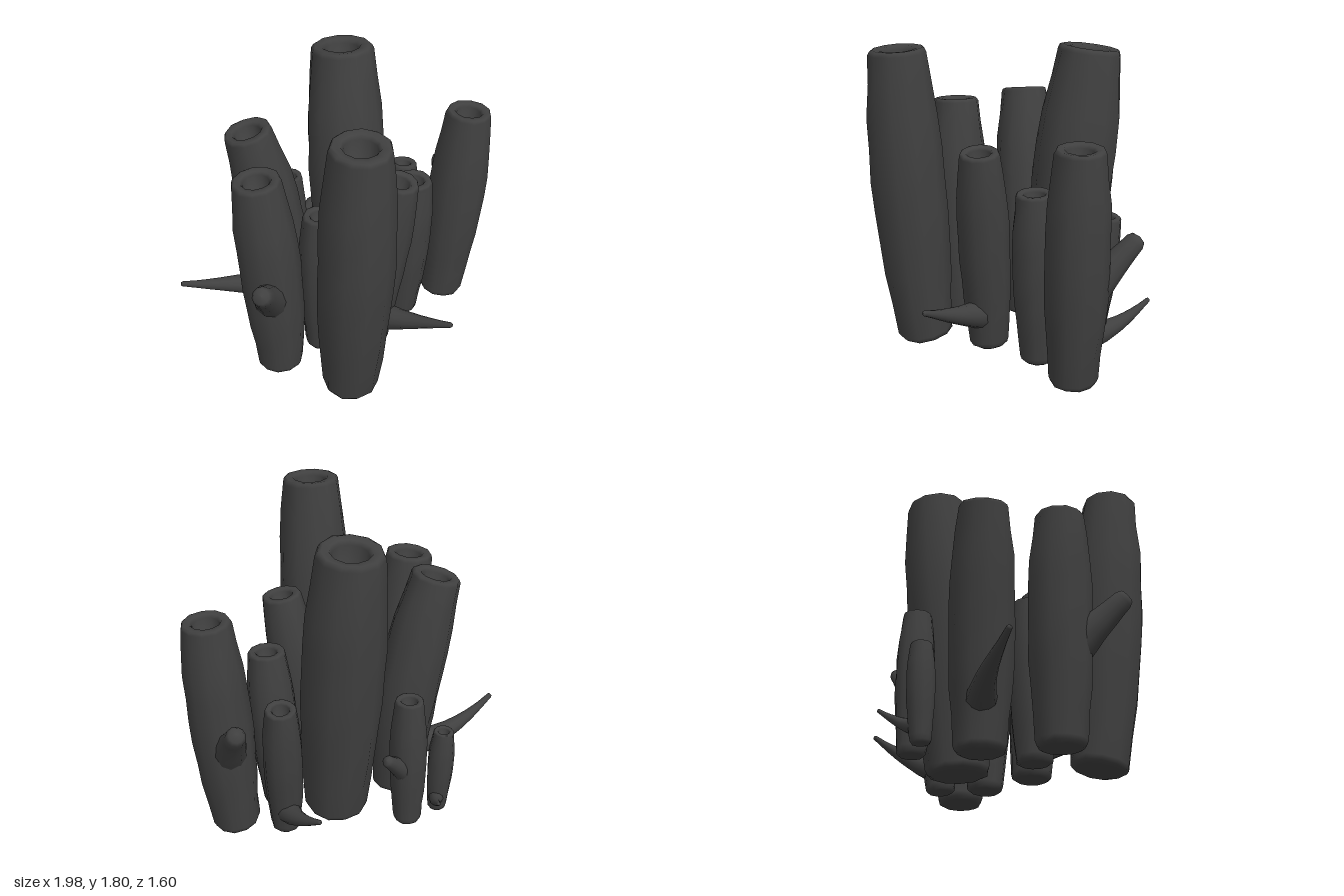
import * as THREE from 'three';

const SIDES = 11;
const { lerp } = THREE.MathUtils;
const material = new THREE.MeshStandardMaterial({ color: 0x404040 });

// Small seeded generator for the lumpy surface
function seeded(seed) {
  let s = seed * 7919 + 17;
  return () => {
    s = (s * 16807) % 2147483647;
    return s / 2147483647;
  };
}

// Closed skin over rings; each ring is { c: centre, dir: axis, r: radius }
function skin(rings, seed, lump) {
  const rnd = seeded(seed);
  const up = new THREE.Vector3(0, 1, 0);
  const q = new THREE.Quaternion();
  const v = new THREE.Vector3();
  const pos = [], index = [];
  const phase = rnd() * 6;
  rings.forEach(({ c, dir, r }, i) => {
    q.setFromUnitVectors(up, dir);
    for (let j = 0; j < SIDES; j++) {
      const a = (j / SIDES) * Math.PI * 2 + phase;
      const k = r * (1 + (rnd() - 0.5) * lump);
      v.set(Math.cos(a) * k, 0, Math.sin(a) * k).applyQuaternion(q).add(c);
      pos.push(v.x, Math.max(v.y, 0), v.z);
      if (i === rings.length - 1) continue;
      const n = (j + 1) % SIDES, b = i * SIDES, t = b + SIDES;
      index.push(b + j, t + j, b + n, b + n, t + j, t + n);
    }
  });
  const g = new THREE.BufferGeometry();
  g.setAttribute('position', new THREE.Float32BufferAttribute(pos, 3));
  g.setIndex(index);
  g.computeVertexNormals();
  return g;
}

// Rings along an axis, both axis and radius given as functions of t = 0..1
function ringsAlong(axis, radius, count) {
  return Array.from({ length: count + 1 }, (_, i) => {
    const t = i / count;
    const dir = axis(Math.min(t + 0.02, 1)).sub(axis(Math.max(t - 0.02, 0))).normalize();
    return { c: axis(t), dir, r: radius(t) };
  });
}

// Ring offset along the axis of another ring
const shifted = (ring, d, r) => ({ c: ring.c.clone().addScaledVector(ring.dir, d), dir: ring.dir, r });

// Swelling shared by all stalks: narrow foot, full middle, drawn-in rim
const swelling = new THREE.SplineCurve(
  [0.78, 0.93, 1, 0.96, 0.77].map((r, i) => new THREE.Vector2(i / 4, r)));

// Hollow-topped stalk: rounded foot, lumpy body, thick rim and a pit
function stalkGeometry(axis, girth, seed) {
  const body = ringsAlong(axis, t => girth * swelling.getPoint(t).y, 9);
  const foot = body[0], top = body.pop();
  const bevel = top.r * 0.16, hole = top.r * 0.55;
  return skin([
    shifted(foot, -0.045, 0.0005),
    shifted(foot, -0.042, foot.r * 0.78),
    shifted(foot, -0.028, foot.r * 0.94),
    ...body,
    shifted(top, -bevel, top.r),
    shifted(top, -bevel * 0.25, top.r * 0.95),
    shifted(top, 0, top.r * 0.87),
    shifted(top, -bevel * 0.2, hole * 1.15),
    shifted(top, -bevel, hole),
    shifted(top, -hole * 1.6, hole * 0.85),
    shifted(top, -hole * 1.7, 0.0005),
  ], seed, 0.055);
}

// Side shoot from a stalk's axis to its tip, curling upward and sideways
function shootGeometry(start, { tip, thick, thin, curl = 1, bend = 0 }, seed) {
  const end = new THREE.Vector3(...tip);
  const side = new THREE.Vector3(end.z - start.z, 0, start.x - end.x).normalize();
  const axis = t => {
    const p = start.clone().lerp(end, t).addScaledVector(side, Math.sin(t * Math.PI) * bend);
    p.y = lerp(start.y, end.y, t ** curl);
    return p;
  };
  const body = ringsAlong(axis, t => lerp(thin, thick, (1 - t) ** 1.2), 8);
  const last = body[body.length - 1];
  return skin([
    shifted(body[0], -0.01, 0.0005),
    ...body,
    shifted(last, last.r * 0.5, last.r * 0.75),
    shifted(last, last.r * 0.7, 0.0005),
  ], seed, 0.04);
}

// One stalk: foot and rim are [x, z]; ease shapes the lean between them
function makeStalk({ name, foot, rim, height, girth, ease = 1, shoot }, i) {
  const axis = t => new THREE.Vector3(
    lerp(foot[0], rim[0], t ** ease), lerp(0.05, height, t), lerp(foot[1], rim[1], t ** ease));
  const group = new THREE.Group();
  group.name = name;
  const body = new THREE.Mesh(stalkGeometry(axis, girth, i + 1), material);
  body.name = 'stalk';
  group.add(body);
  if (shoot) {
    const start = axis((shoot.from - 0.05) / (height - 0.05));
    const branch = new THREE.Mesh(shootGeometry(start, shoot, i + 31), material);
    branch.name = 'sideShoot';
    group.add(branch);
  }
  return group;
}

export function createModel() {
  const model = new THREE.Group();
  model.name = 'stalkCluster';

  // Tall and inner stalks without shoots
  const plain = [
    { name: 'frontTallStalk', foot: [-0.055, 0.49], rim: [-0.035, 0.615], height: 1.78, girth: 0.218, ease: 0.75 },
    { name: 'backTallStalk', foot: [0.12, -0.3], rim: [0.1, -0.475], height: 1.78, girth: 0.24, ease: 1.25 },
    { name: 'innerStalk', foot: [-0.15, 0.11], rim: [-0.15, 0.09], height: 0.99, girth: 0.137 },
    { name: 'innerRightStalk', foot: [0.42, -0.12], rim: [0.465, -0.08], height: 1.04, girth: 0.14 },
  ];

  // Stalks with a short blunt knob
  const knobbed = [
    { name: 'leftOuterStalk', foot: [-0.44, 0.22], rim: [-0.53, 0.22], height: 1.38, girth: 0.182, ease: 1.4,
      shoot: { from: 0.5, tip: [-0.57, 0.83, 0.555], thick: 0.13, thin: 0.058 } },
    { name: 'rightOuterStalk', foot: [0.735, -0.25], rim: [0.835, -0.24], height: 1.38, girth: 0.178, ease: 0.9,
      shoot: { from: 0.48, tip: [0.78, 0.835, -0.565], thick: 0.13, thin: 0.056 } },
    { name: 'backStalk', foot: [-0.235, -0.565], rim: [-0.225, -0.56], height: 0.85, girth: 0.108,
      shoot: { from: 0.35, tip: [-0.06, 0.54, -0.67], thick: 0.08, thin: 0.035 } },
  ];

  // Stalks with a long pointed horn
  const horned = [
    { name: 'leaningStalk', foot: [-0.31, -0.2], rim: [-0.515, -0.215], height: 1.43, girth: 0.188, ease: 1.6,
      shoot: { from: 0.27, tip: [-0.98, 0.445, -0.11], thick: 0.105, thin: 0.016, curl: 1.9, bend: -0.04 } },
    { name: 'frontRightStalk', foot: [0.15, 0.13], rim: [0.29, 0.2], height: 1.24, girth: 0.152, ease: 1.3,
      shoot: { from: 0.21, tip: [0.54, 0.4, 0.55], thick: 0.1, thin: 0.016, curl: 1.3 } },
    { name: 'backRightStalk', foot: [0.465, -0.385], rim: [0.505, -0.48], height: 0.9, girth: 0.115, ease: 1.2,
      shoot: { from: 0.15, tip: [0.387, 0.315, -0.785], thick: 0.085, thin: 0.014, curl: 1.4, bend: -0.025 } },
    { name: 'smallBackStalk', foot: [-0.45, -0.52], rim: [-0.462, -0.535], height: 0.57, girth: 0.077,
      shoot: { from: 0.1, tip: [-0.355, 0.215, -0.745], thick: 0.055, thin: 0.011, curl: 1.5, bend: -0.015 } },
  ];

  [...plain, ...knobbed, ...horned].forEach((stalk, i) => model.add(makeStalk(stalk, i)));
  return model;
}
